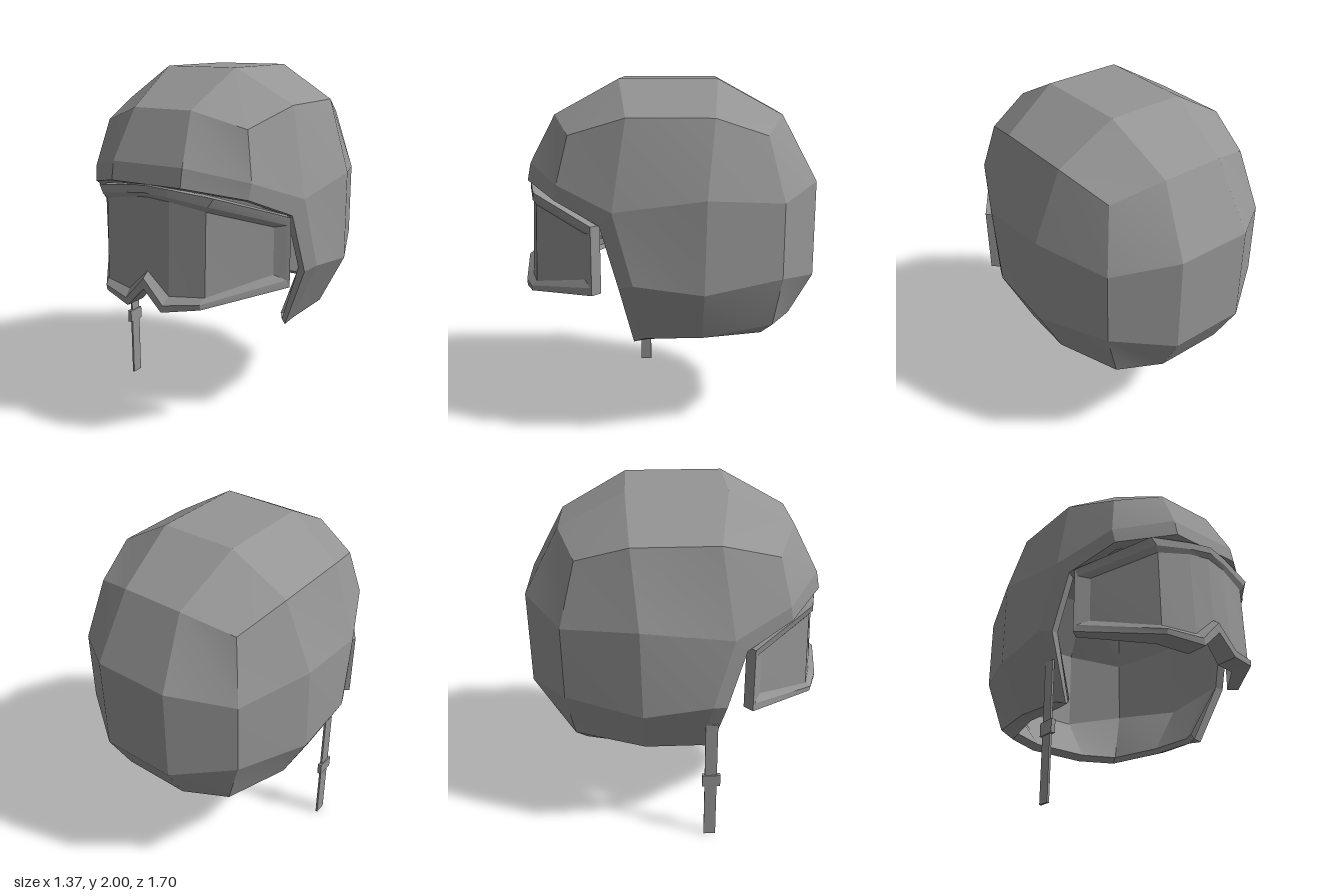
import * as THREE from 'three';

const material = new THREE.MeshStandardMaterial({ color: 0x959595, side: THREE.DoubleSide });

const mirror = (half) => half.map(([x, y, z]) => [-x, y, z]).reverse();
const acrossFront = (half) => [...mirror(half), ...half]; // row that passes the front
const acrossBack = (half) => [...half, ...mirror(half)]; // row that passes the back
const ring = (half) => [...acrossBack(half), half[0]];

// Joins each [upper, lower] pair of rows, listed left to right from outside;
// every quad keeps its own corners, so it is shaded as one facet
function surface(name, pairs) {
  const pos = [];
  const index = [];
  for (const [a, b] of pairs) {
    for (let i = 0; i + 1 < a.length; i++) {
      const n = pos.length / 3;
      pos.push(...a[i], ...b[i], ...b[i + 1], ...a[i + 1]);
      index.push(n, n + 1, n + 2, n, n + 2, n + 3);
    }
  }
  const geometry = new THREE.BufferGeometry();
  geometry.setAttribute('position', new THREE.Float32BufferAttribute(pos, 3));
  geometry.setIndex(index);
  geometry.computeVertexNormals();
  const mesh = new THREE.Mesh(geometry, material);
  mesh.name = name;
  return mesh;
}

function box(name, size, position) {
  const mesh = new THREE.Mesh(new THREE.BoxGeometry(...size), material);
  mesh.name = name;
  mesh.position.set(...position);
  return mesh;
}

// Half rows of the shell (x > 0), from the front round to the back
const crown = [[0.22, 2, 0.27], [0.22, 2, -0.28]];
const upper = [[0.18, 1.8, 0.64], [0.45, 1.71, 0.53], [0.54, 1.81, 0.21], [0.54, 1.81, -0.26], [0.45, 1.71, -0.55], [0.18, 1.8, -0.65]];
const middle = [[0.22, 1.53, 0.78], [0.51, 1.45, 0.59], [0.655, 1.33, 0.28], [0.68, 1.4, -0.22], [0.53, 1.36, -0.64], [0.22, 1.43, -0.85]];
const brow = [[0.22, 1.43, 0.8], [0.5, 1.365, 0.605], [0.62, 1.25, 0.35]];
const cheek = [[0.65, 0.92, 0.25], [0.685, 0.94, 0.17], [0.685, 0.89, -0.21], [0.53, 0.94, -0.64], [0.22, 0.88, -0.85]];
const hem = [[0.5, 0.56, 0.18], [0.52, 0.585, 0.12], [0.54, 0.6, -0.2], [0.44, 0.645, -0.6], [0.2, 0.64, -0.72]];
const lip = [[0.47, 0.58, 0.16], [0.48, 0.568, 0.1], [0.48, 0.578, -0.2], [0.39, 0.58, -0.54], [0.18, 0.58, -0.64]];
const ledge = lip.map(([x, y, z]) => [x * 0.97, y + 0.03, z * 0.93]);

// The wall of the shell; the same rows, shrunk, line the inside
function shellRows(fit, bottom) {
  const [c, u, m, b, k] = [crown, upper, middle, brow, cheek].map((row) => row.map(fit));
  const topRows = [[u[5], u[4]], [c[1], u[3]], [c[0], u[2]], [u[0], u[1]]].map(acrossFront);
  return [
    [topRows[0], topRows[1]], [topRows[1], topRows[2]], [topRows[2], topRows[3]],
    [ring(u), ring(m)],
    [acrossFront(m.slice(0, 3)), acrossFront(b)],
    [acrossBack([b[2], ...m.slice(2)]), acrossBack(k)],
    [acrossBack(k), acrossBack(bottom)],
  ];
}

function createHelmet() {
  const helmet = new THREE.Group();
  helmet.name = 'helmet';
  const shrink = ([x, y, z]) => [x * 0.93, 1.1 + (y - 1.1) * 0.94, z * 0.94];
  helmet.add(surface('outerShell', shellRows((p) => p, hem)));
  helmet.add(surface('innerShell', shellRows(shrink, ledge).map(([a, b]) => [b, a])));

  // Rim closing the wall round the face opening and the bottom
  const side = [brow[2], cheek[0], hem[0]];
  const inner = [...side.slice(0, 2).map(shrink), lip[0]];
  helmet.add(surface('rim', [
    [acrossFront(brow), acrossFront(brow.map(shrink))],
    [side.slice().reverse(), inner.slice().reverse()],
    [mirror(side).reverse(), mirror(inner).reverse()],
    [acrossBack(hem), acrossBack(lip)],
    [acrossBack(lip), acrossBack(ledge)],
  ]));
  return helmet;
}

function createGoggles() {
  const goggles = new THREE.Group();
  goggles.name = 'goggles';
  goggles.position.x = 0.01;
  // Half outlines, top centre to side and back along the bottom to the nose
  const back = [
    [0, 1.43, 0.74], [0.12, 1.415, 0.72], [0.33, 1.375, 0.66], [0.575, 1.25, 0.35],
    [0.575, 0.87, 0.35], [0.28, 0.8, 0.66], [0.11, 0.77, 0.72], [0, 0.88, 0.74],
  ];
  const outer = [
    [0, 1.43, 0.82], [0.13, 1.417, 0.8], [0.37, 1.385, 0.74], [0.625, 1.25, 0.395],
    [0.625, 0.87, 0.395], [0.31, 0.8, 0.78], [0.11, 0.77, 0.85], [0, 0.88, 0.85],
  ];
  const inner = [
    [0, 1.39, 0.82], [0.13, 1.375, 0.8], [0.34, 1.34, 0.75], [0.61, 1.21, 0.405],
    [0.61, 0.91, 0.405], [0.31, 0.83, 0.785], [0.12, 0.81, 0.85], [0, 0.94, 0.85],
  ];
  const lens = [
    [0, 1.365, 0.8], [0.13, 1.35, 0.785], [0.32, 1.31, 0.735], [0.55, 1.2, 0.44],
    [0.55, 0.94, 0.44], [0.32, 0.86, 0.75], [0.13, 0.85, 0.805], [0, 0.97, 0.81],
  ];
  const loop = (half) => [...half, ...mirror(half).slice(1)];
  goggles.add(surface('goggleFrame', [
    [loop(back), loop(outer)], [loop(outer), loop(inner)], [loop(inner), loop(lens)],
  ]));
  const top = lens.slice(0, 4);
  const bottom = lens.slice(4).reverse();
  goggles.add(surface('goggleLens', [[acrossFront(top), acrossFront(bottom)]]));
  return goggles;
}

export function createModel() {
  const model = new THREE.Group();
  model.name = 'helmetWithGoggles';
  model.add(createHelmet(), createGoggles());

  // Chin strap hanging on the right side
  const strap = new THREE.Group();
  strap.name = 'chinStrap';
  strap.add(box('strapBand', [0.012, 0.78, 0.07], [-0.605, 0.39, 0.172]));
  strap.add(box('strapBuckle', [0.024, 0.075, 0.105], [-0.605, 0.398, 0.175]));
  model.add(strap);
  return model;
}
